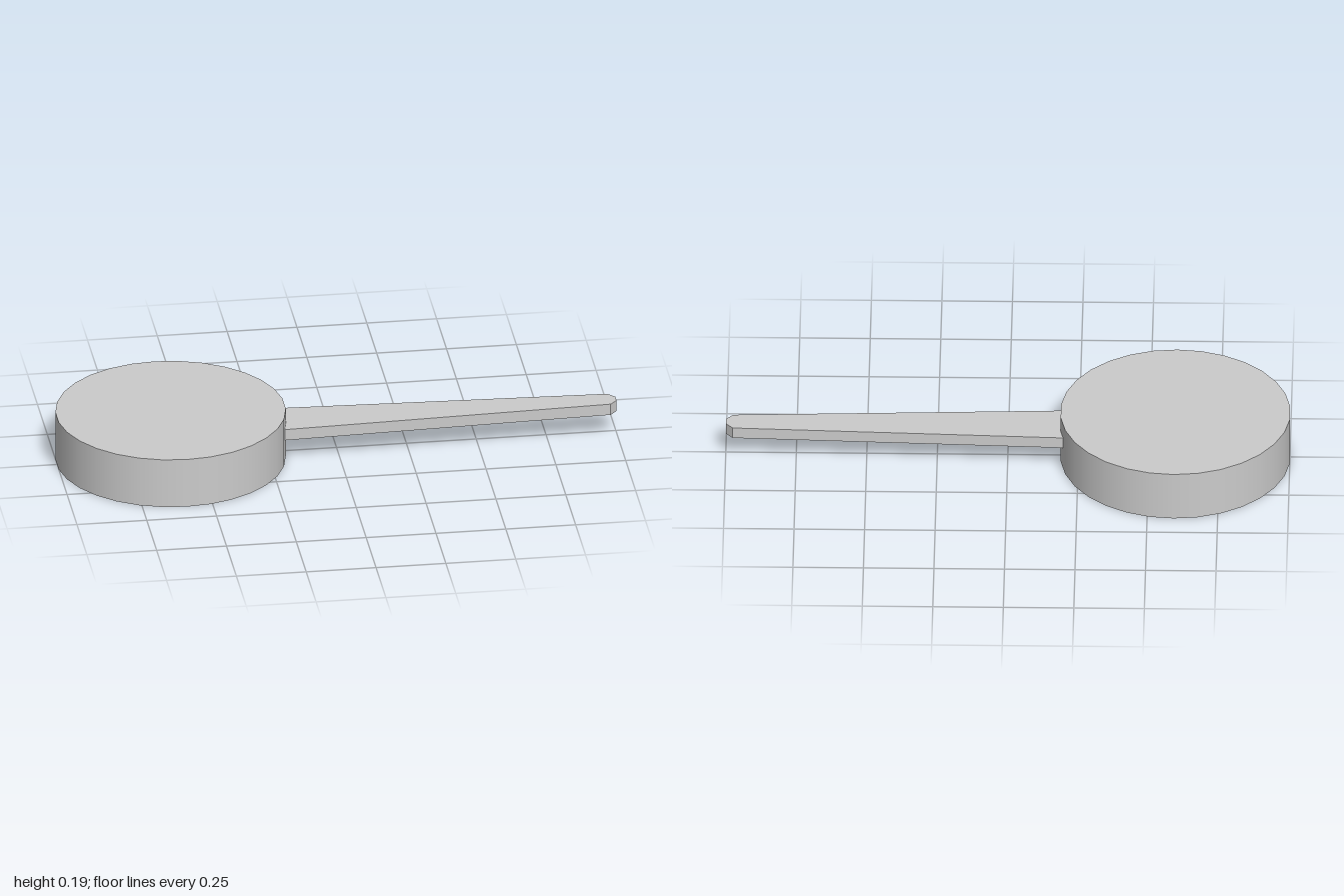
import * as THREE from 'three';

const material = new THREE.MeshStandardMaterial({ color: 0xcccccc });
const thinMaterial = new THREE.MeshStandardMaterial({ color: 0xcccccc, side: THREE.DoubleSide });

// Solid round body standing on the ground
function makeBody() {
  const radius = 0.4085, height = 0.185;
  const body = new THREE.Mesh(new THREE.CylinderGeometry(radius, radius, height, 30), material);
  body.position.set(-0.594, height / 2, 0);
  body.name = 'body';
  return body;
}

// Tapered handle: a thin channel, open underneath and towards the body
function makeHandle() {
  const top = 0.127, bottom = 0.085;
  const half = [[-0.2, 0.0895], [0.975, 0.043], [1, 0.0147]]; // x, half width
  const outline = [
    ...half.map(([x, w]) => new THREE.Vector2(x, -w)),
    ...half.map(([x, w]) => new THREE.Vector2(x, w)).reverse(),
  ];

  const handle = new THREE.Group();
  handle.name = 'handle';

  // Flat top sheet
  const sheet = new THREE.ShapeGeometry(new THREE.Shape(outline));
  sheet.rotateX(-Math.PI / 2).translate(0, top, 0);
  const topMesh = new THREE.Mesh(sheet, thinMaterial);
  topMesh.name = 'handleTop';

  // Side walls hanging from the edge, running round the tip
  const positions = [];
  for (let i = 0; i < outline.length - 1; i++) {
    const a = outline[i], b = outline[i + 1];
    const a0 = [a.x, bottom, -a.y], a1 = [a.x, top, -a.y];
    const b0 = [b.x, bottom, -b.y], b1 = [b.x, top, -b.y];
    positions.push(...a0, ...b0, ...b1, ...a0, ...b1, ...a1);
  }
  const walls = new THREE.BufferGeometry();
  walls.setAttribute('position', new THREE.Float32BufferAttribute(positions, 3));
  walls.computeVertexNormals();
  const wallMesh = new THREE.Mesh(walls, thinMaterial);
  wallMesh.name = 'handleWalls';

  handle.add(topMesh, wallMesh);
  handle.position.z = 0.0036;
  return handle;
}

export function createModel() {
  const model = new THREE.Group();
  model.name = 'pan';
  model.add(makeBody(), makeHandle());
  return model;
}
